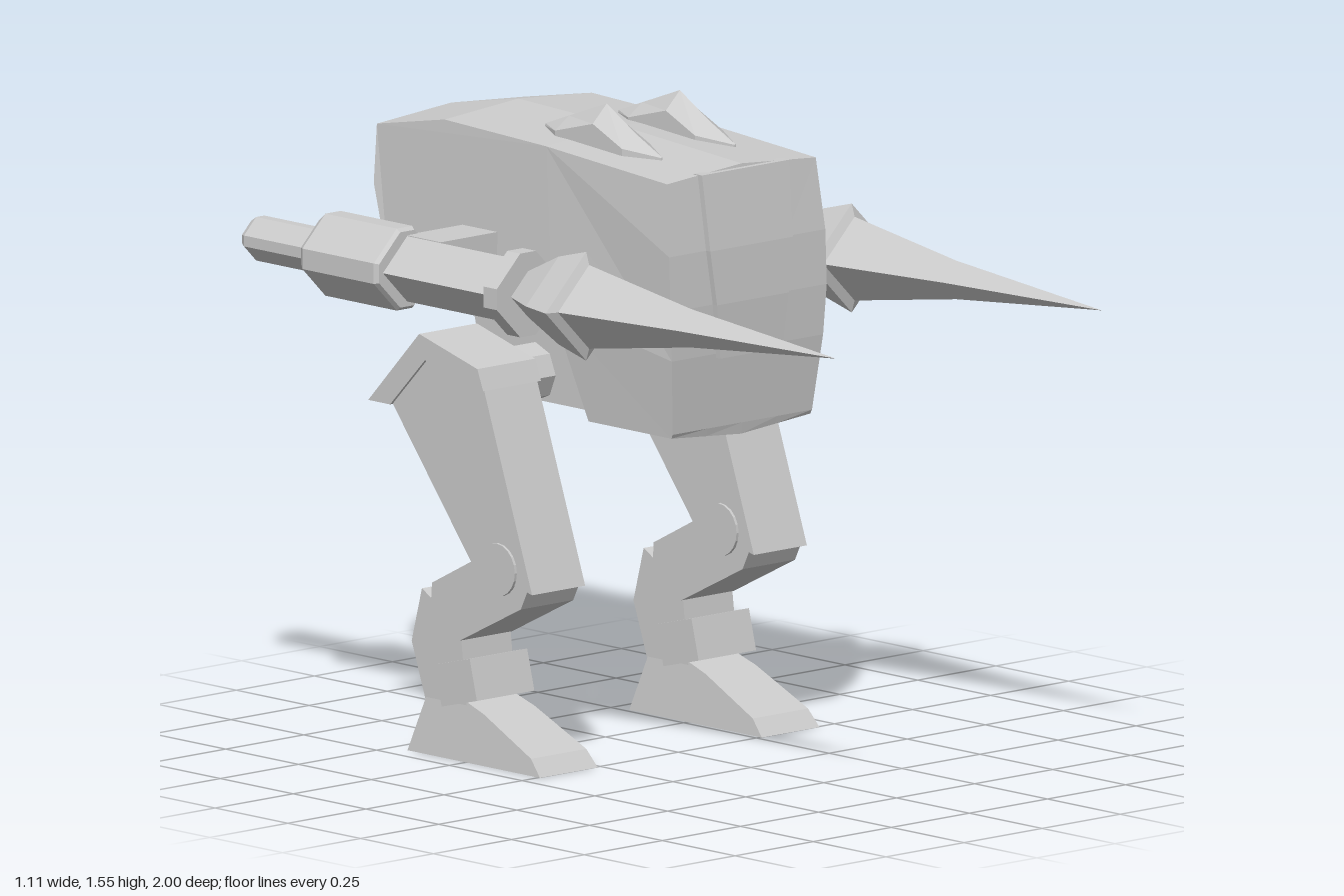
import * as THREE from 'three';

const grey = new THREE.MeshStandardMaterial({ color: 0xcccccc, flatShading: true });

function mesh(name, geometry, parent, x = 0, y = 0, z = 0) {
  const m = new THREE.Mesh(geometry, grey);
  m.name = name;
  m.position.set(x, y, z);
  parent.add(m);
  return m;
}

// Side profile of [z, y] points, extruded along x and centred on x = 0
function sideExtrude(points, width, steps = 1) {
  const shape = new THREE.Shape(points.map(([z, y]) => new THREE.Vector2(z, y)));
  const g = new THREE.ExtrudeGeometry(shape, { depth: width, steps, bevelEnabled: false });
  return g.translate(0, 0, -width / 2).rotateY(-Math.PI / 2);
}

// Move every vertex by a rule
function warp(g, rule) {
  const p = g.attributes.position;
  const v = new THREE.Vector3();
  for (let i = 0; i < p.count; i++) {
    rule(v.fromBufferAttribute(p, i));
    p.setXYZ(i, v.x, v.y, v.z);
  }
  g.computeVertexNormals();
  return g;
}

// Piecewise linear lookup in rising [key, value] pairs
function lookup(table, k) {
  if (k <= table[0][0]) return table[0][1];
  for (let i = 1; i < table.length; i++) {
    const [k0, v0] = table[i - 1], [k1, v1] = table[i];
    if (k <= k1) return v0 + (v1 - v0) * (k - k0) / (k1 - k0);
  }
  return table[table.length - 1][1];
}

// Skin rings of points, listed front to back, each anticlockwise seen from the front
function loft(rings) {
  const out = [];
  const tri = (...pts) => pts.forEach((p) => out.push(...p));
  const n = rings[0].length;
  const centre = (r) => [0, 1, 2].map((k) => r.reduce((s, p) => s + p[k], 0) / n);
  const last = rings[rings.length - 1];
  for (let j = 0; j < n; j++) {
    const k = (j + 1) % n;
    tri(centre(rings[0]), rings[0][j], rings[0][k]);
    for (let i = 0; i + 1 < rings.length; i++) {
      const a = rings[i], b = rings[i + 1];
      tri(a[j], b[j], a[k]);
      tri(a[k], b[j], b[k]);
    }
    tri(centre(last), last[k], last[j]);
  }
  const g = new THREE.BufferGeometry();
  g.setAttribute('position', new THREE.Float32BufferAttribute(out, 3));
  g.computeVertexNormals();
  return g;
}

const DIAMOND = [[1, 0], [0, 1], [-1, 0], [0, -1]];
const CUT_DIAMOND = [[1, -0.25], [1, 0.25], [0.25, 1], [-0.25, 1], [-1, 0.25], [-1, -0.25], [-0.25, -1], [0.25, -1]];
// Bar along z from [z, radius] stations
const bar = (outline, stations) =>
  loft(stations.map(([z, r]) => outline.map(([x, y]) => [x * r, y * r, z])));

const HULL_WIDTH = [[0.79, 0.22], [1.0, 0.242], [1.12, 0.25], [1.25, 0.25], [1.42, 0.238], [1.48, 0.235]];
const HULL_FRONT = [[0.82, 0.22], [1.0, 0.238], [1.12, 0.242], [1.25, 0.237], [1.43, 0.217]];

function addHull(root) {
  const hull = new THREE.Group();
  hull.name = 'hull';
  root.add(hull);

  // Main shell, bowed across its top and bottom and narrowing at both
  const profile = [
    [-0.07, 0.81], [0.215, 0.81], ...HULL_FRONT.map(([y, z]) => [z, y === 1.43 ? 1.42 : y]),
    [-0.2, 1.45], [-0.55, 1.463], [-0.78, 1.42], [-0.78, 1.28], [-0.73, 1.09], [-0.17, 1.07],
  ];
  mesh('hullShell', warp(sideExtrude(profile, 2, 4), (v) => {
    const t = v.x;
    v.x = t * lookup(HULL_WIDTH, v.y);
    const bow = 0.018 * (1 - Math.abs(t));
    if (v.y > 1.4) v.y += bow;
    else if (v.y < 0.815) v.y -= bow;
  }), hull);

  // Raised front panel following the curve of the shell
  const half = [[0.1, 0.99], [0.115, 1.12], [0.132, 1.25], [0.14, 1.43]];
  const rows = [...half].reverse().map(([x, y]) =>
    [[-x, y, 0], [x, y, 0], [x, y, 0.03], [-x, y, 0.03]].map(([px, py, d]) =>
      [px, py, lookup(HULL_FRONT, py) - 0.015 + d]));
  mesh('frontPanel', loft(rows.map((r) => r.reverse())), hull);

  // Two ridged fins on the roof
  const stations = [
    [0.07, 0.002, 1.445, 1.447], [-0.02, 0.045, 1.46, 1.49], [-0.12, 0.045, 1.505, 1.548],
    [-0.25, 0.045, 1.47, 1.5], [-0.33, 0.002, 1.465, 1.47],
  ];
  for (const s of [-1, 1]) {
    mesh('roofFin', loft(stations.map(([z, w, edge, ridge]) =>
      [[w, 1.43, z], [w, edge, z], [0, ridge, z], [-w, edge, z], [-w, 1.43, z]])), hull, s * 0.117);
  }

  // Boxes on the tilted part of the rear
  mesh('rearBox', new THREE.BoxGeometry(0.115, 0.17, 0.07), hull, 0.058, 1.185, -0.77).rotation.x = -0.22;
  mesh('rearSmallBox', new THREE.BoxGeometry(0.08, 0.1, 0.05), hull, -0.04, 1.16, -0.755).rotation.x = -0.22;

  // Pelvis block and hip axle
  mesh('pelvis', sideExtrude([[-0.1, 0.815], [-0.1, 1.1], [-0.57, 1.1], [-0.5, 0.84], [-0.45, 0.815]], 0.3), hull);
  const axle = new THREE.CylinderGeometry(0.07, 0.07, 0.58, 8).rotateX(0).rotateZ(Math.PI / 2);
  mesh('hipAxle', axle, hull, 0, 0.882, -0.33);
}

function addArm(root, s) {
  const arm = new THREE.Group();
  arm.name = s > 0 ? 'leftArm' : 'rightArm';
  arm.position.set(s * 0.425, 1.143, 0);
  root.add(arm);
  mesh('armMount', new THREE.BoxGeometry(0.22, 0.14, 0.12), arm, -s * 0.11, 0.01, -0.42);
  mesh('spear', bar(DIAMOND, [[1, 0], [0.5, 0.046], [0.15, 0.1], [0.14, 0.13], [0.045, 0.105], [-0.07, 0.05]]), arm);
  mesh('collar', bar(CUT_DIAMOND, [[-0.06, 0.1], [-0.105, 0.1]]), arm);
  mesh('shaft', bar(DIAMOND, [[-0.1, 0.078], [-0.49, 0.078]]), arm);
  mesh('housing', bar(CUT_DIAMOND, [[-0.475, 0.09], [-0.485, 0.098], [-0.73, 0.098], [-0.76, 0.075]]), arm);
  mesh('muzzle', bar(CUT_DIAMOND, [[-0.75, 0.052], [-0.98, 0.052], [-1, 0.04]]), arm);
}

function addLeg(root, s) {
  const leg = new THREE.Group();
  leg.name = s > 0 ? 'leftLeg' : 'rightLeg';
  leg.position.x = s * 0.355;
  root.add(leg);
  mesh('hipPlate', sideExtrude([[-0.19, 0.895], [-0.21, 0.945], [-0.41, 1.0], [-0.585, 0.817],
    [-0.51, 0.817], [-0.39, 0.94]], 0.185), leg);
  mesh('thigh', sideExtrude([[-0.03, 0.43], [-0.2, 0.91], [-0.4, 0.96], [-0.51, 0.82], [-0.24, 0.48]], 0.17), leg);
  mesh('shin', sideExtrude([[-0.07, 0.39], [-0.045, 0.44], [-0.15, 0.52], [-0.24, 0.48], [-0.375, 0.41],
    [-0.38, 0.34], [-0.28, 0.285]], 0.168), leg);
  mesh('calf', sideExtrude([[-0.26, 0.12], [-0.28, 0.29], [-0.38, 0.37], [-0.415, 0.39],
    [-0.45, 0.26], [-0.4, 0.12]], 0.158), leg);
  mesh('kneeDisc', new THREE.CylinderGeometry(0.063, 0.063, 0.184, 20).rotateZ(Math.PI / 2), leg, 0, 0.475, -0.145);
  mesh('ankleBand', new THREE.BoxGeometry(0.184, 0.1, 0.125), leg, 0, 0.185, -0.285).rotation.x = -0.25;
  // Foot, slightly narrower at its top
  mesh('foot', warp(sideExtrude([[0.005, 0], [-0.03, 0.04], [-0.2, 0.12], [-0.26, 0.14],
    [-0.4, 0.135], [-0.45, 0]], 0.185), (v) => { v.x *= 1 - v.y * 1.1; }), leg);
}

export function createModel() {
  const root = new THREE.Group();
  root.name = 'walker';
  addHull(root);
  for (const s of [-1, 1]) {
    addArm(root, s);
    addLeg(root, s);
  }
  return root;
}
